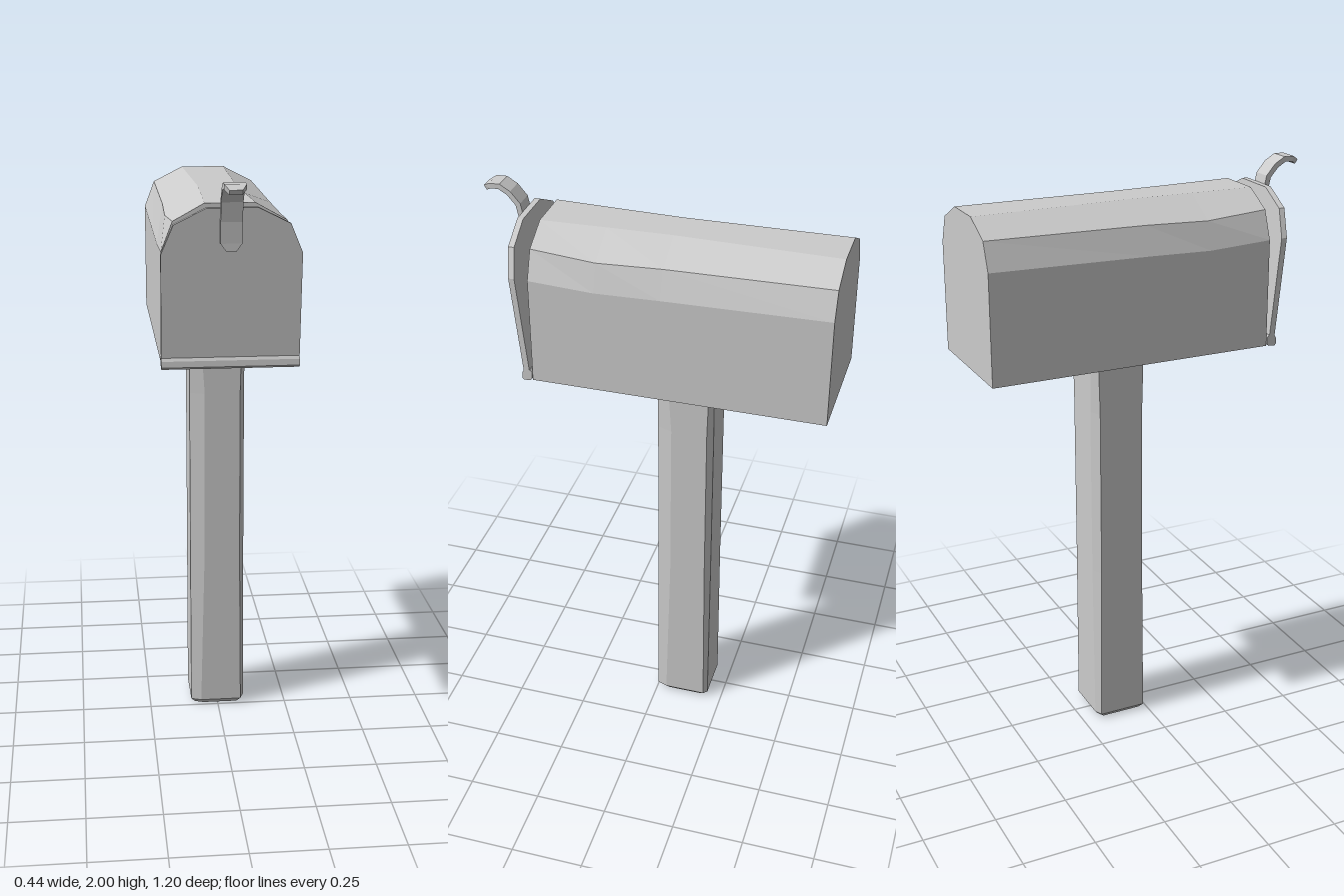
import * as THREE from 'three';

const material = new THREE.MeshStandardMaterial({ color: 0xcccccc, flatShading: true });

// Closed solid through rings of [x, y, z]; each ring runs counter-clockwise about the direction of travel.
function loft(name, rings) {
  const n = rings[0].length, last = (rings.length - 1) * n, index = [];
  for (let r = 0; r < last; r += n) {
    for (let i = 0; i < n; i++) {
      const a = r + i, b = r + (i + 1) % n;
      index.push(a, b, b + n, a, b + n, a + n);
    }
  }
  for (let i = 1; i < n - 1; i++) {
    index.push(0, i + 1, i, last, last + i, last + i + 1);
  }
  const geometry = new THREE.BufferGeometry();
  geometry.setAttribute('position', new THREE.Float32BufferAttribute(rings.flat(2), 3));
  geometry.setIndex(index);
  const flat = geometry.toNonIndexed();
  flat.computeVertexNormals();
  const mesh = new THREE.Mesh(flat, material);
  mesh.name = name;
  return mesh;
}

// Arched outline: straight walls, a shoulder and a flat crown.
function arch(w, base, wallTop, shoulderX, shoulderY, crownX, crownY) {
  const right = [[w, base], [w, wallTop], [shoulderX, shoulderY], [crownX, crownY]];
  return [...right, ...right.slice().reverse().map(([x, y]) => [-x, y])];
}

// Hand-hewn square post: chamfers vary by corner and height.
function createPost() {
  const levels = [ // y, inset, chamfer scale
    [0, 0.015, 0.8], [0.018, 0, 0.9], [0.6, 0, 1.25], [1.2, 0, 1.3], [1.41, 0, 0.95],
  ];
  const corners = [ // sign x, sign z, chamfer x, chamfer z
    [1, 1, 0.015, 0.04], [1, -1, 0.015, 0.015], [-1, -1, 0.03, 0.015], [-1, 1, 0.04, 0.015],
  ];
  return loft('post', levels.map(([y, inset, k]) => {
    const h = 0.098 - inset;
    return corners.flatMap(([sx, sz, cx, cz]) => {
      const onZ = [sx * (h - cx * k), y, -0.1 + sz * h];
      const onX = [sx * h, y, -0.1 + sz * (h - cz * k)];
      return sx * sz > 0 ? [onZ, onX] : [onX, onZ];
    });
  }));
}

// Box body, with a slight sag in its ridges.
function createBody() {
  const sections = [
    [-0.6, arch(0.217, 1.4, 1.773, 0.182, 1.865, 0.077, 1.918)],
    [-0.05, arch(0.217, 1.4, 1.763, 0.184, 1.857, 0.066, 1.918)],
    [0.17, arch(0.217, 1.4, 1.757, 0.19, 1.85, 0.072, 1.918)],
    [0.39, arch(0.217, 1.4, 1.768, 0.18, 1.863, 0.08, 1.918)],
  ];
  return loft('mailboxBody', sections.map(([z, pts]) => pts.map(([x, y]) => [x, y, z])));
}

// Door leaning outward from its hinge.
function createDoor() {
  const outline = arch(0.221, 1.415, 1.77, 0.182, 1.862, 0.08, 1.913);
  return loft('door', [0.398, 0.418].map((z) =>
    outline.map(([x, y]) => [x, y, z + (y - 1.42) * 0.1])));
}

// Bar along the door's lower edge.
function createHinge() {
  const section = [ // z, y
    [0.392, 1.405], [0.398, 1.4], [0.42, 1.398], [0.426, 1.405],
    [0.425, 1.425], [0.418, 1.438], [0.398, 1.438], [0.39, 1.43],
  ];
  const ring = (x) => section.map(([z, y]) => [x, y, z]).reverse();
  return loft('hingeBar', [ring(-0.221), ring(0.221)]);
}

// Curled pull tab, a flat strip swept along a curve.
function createHandle() {
  const path = [ // y, z, half width
    [1.78, 0.461, 0.016], [1.805, 0.462, 0.034], [1.873, 0.469, 0.034], [1.937, 0.483, 0.034],
    [1.972, 0.513, 0.034], [1.991, 0.545, 0.034], [1.99, 0.576, 0.034], [1.976, 0.598, 0.02],
  ];
  const t = 0.009, cx = -0.004;
  return loft('handle', path.map(([y, z, w], i) => {
    const a = path[Math.max(i - 1, 0)], b = path[Math.min(i + 1, path.length - 1)];
    const tangent = new THREE.Vector2(b[0] - a[0], b[1] - a[1]).normalize();
    const ny = -tangent.y * t, nz = tangent.x * t;
    return [[1, -1], [1, 1], [-1, 1], [-1, -1]].map(([n, s]) =>
      [cx + s * w, y + n * ny, z + n * nz]);
  }));
}

export function createModel() {
  const group = new THREE.Group();
  group.name = 'mailbox';
  group.add(createPost(), createBody(), createDoor(), createHinge(), createHandle());
  return group;
}
